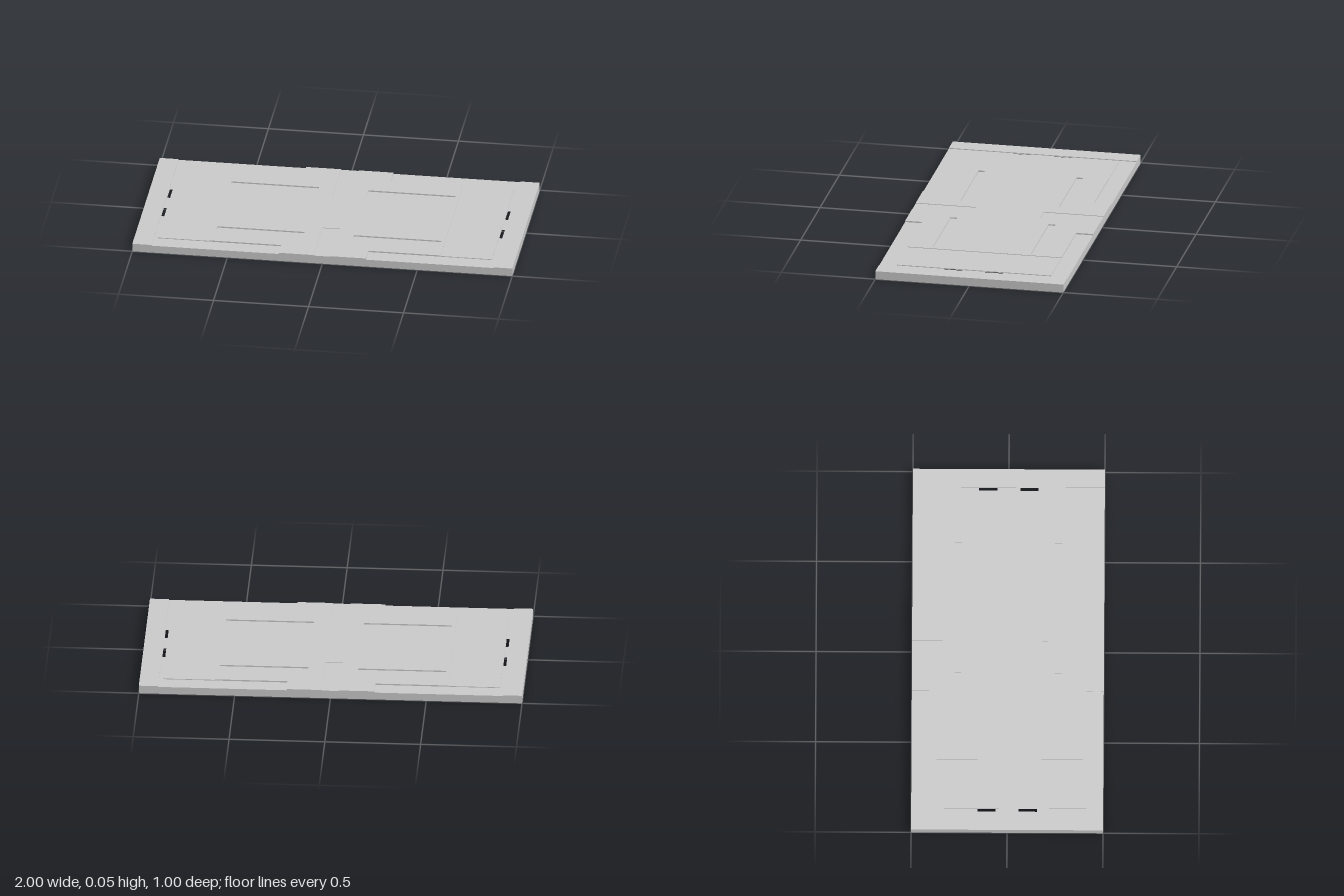
import * as THREE from 'three';

// Levels of the embossed sheet
const FLOOR = 0.04, MID = 0.044, TOP = 0.047;
const material = new THREE.MeshStandardMaterial({ color: 0xcccccc, side: THREE.DoubleSide });

const rect = (x0, x1, z0, z1) => [[x0, z0], [x1, z0], [x1, z1], [x0, z1]];
const flip = (points, sx, sz) => points.map(([x, z]) => [x * sx, z * sz]);

export function createModel() {
  const model = new THREE.Group();

  const add = (name, geometry) => {
    const mesh = new THREE.Mesh(geometry, material);
    mesh.name = name;
    model.add(mesh);
  };

  // Flat panel from an [x, z] outline, with optional holes
  const panel = (name, outline, y, holes = []) => {
    const toVectors = (points) => points.map(([x, z]) => new THREE.Vector2(x, -z));
    const shape = new THREE.Shape(toVectors(outline));
    shape.holes = holes.map((hole) => new THREE.Path(toVectors(hole)));
    add(name, new THREE.ShapeGeometry(shape).rotateX(-Math.PI / 2).translate(0, y, 0));
  };

  // Upright wall following an [x, z] path
  const wall = (name, path, y0, y1, closed = false) => {
    const points = closed ? [...path, path[0]] : path;
    const positions = [];
    for (let i = 0; i + 1 < points.length; i++) {
      const [ax, az] = points[i], [bx, bz] = points[i + 1];
      positions.push(ax, y0, az, bx, y0, bz, bx, y1, bz, ax, y0, az, bx, y1, bz, ax, y1, az);
    }
    const geometry = new THREE.BufferGeometry();
    geometry.setAttribute('position', new THREE.Float32BufferAttribute(positions, 3));
    geometry.computeVertexNormals();
    add(name, geometry);
  };

  // Outer skirt, open underneath (z clockwise so the walls face outward)
  wall('skirt', rect(-1, 1, -0.5, 0.5).reverse(), 0, FLOOR, true);

  for (const s of [1, -1]) {
    // Raised strip at each end
    const strip = rect(0.9, 1, -0.5, 0.5);
    panel('endStrip', flip(strip, s, 1), MID);
    wall('endStripEdge', flip(strip, s, 1), FLOOR, MID, true);

    // Low border with two through slots
    const border = [
      [0.23, 0.5], [0.9, 0.5], [0.9, -0.5], [0.23, -0.5],
      [0.23, -0.41], [0.88, -0.41], [0.88, 0.41], [0.23, 0.41],
    ];
    const slots = [rect(0.882, 0.897, 0.06, 0.155), rect(0.882, 0.897, -0.155, -0.06)];
    panel('border', flip(border, s, 1), FLOOR, slots.map((slot) => flip(slot, s, 1)));

    // Side wing between the border and the centre plate
    const wing = [[0.61, 0.41], [0.88, 0.41], [0.88, -0.41], [0.61, -0.41]];
    panel('sideWing', flip(wing, s, 1), MID);
    wall('sideWingEdge', flip(wing, s, 1), FLOOR, MID);
    wall('centrePlateSide', flip([[0.61, 0.41], [0.61, -0.41]], s, 1), MID, TOP);
  }

  // Centre plate: one quarter of its outline, mirrored around
  const quarter = [[0.61, 0.41], [0.23, 0.41], [0.23, 0.5], [0.046, 0.5]];
  const corner = [...quarter, [0.046, 0.18]];
  const outline = [
    ...corner,
    ...flip(corner, -1, 1).reverse(),
    ...flip(corner, -1, -1),
    ...flip(corner, 1, -1).reverse(),
  ];
  const grooves = [];
  for (const sx of [1, -1]) {
    for (const sz of [1, -1]) {
      wall('centrePlateEdge', flip(quarter, sx, sz), FLOOR, TOP);
      // Long recessed groove
      const groove = flip(rect(0.13, 0.59, 0.243, 0.279), sx, sz);
      grooves.push(groove);
      panel('grooveFloor', groove, FLOOR);
      wall('grooveWall', groove, FLOOR, TOP, true);
    }
  }
  panel('centrePlate', outline, TOP, grooves);

  // Shallow channels running in from the front and back edges
  for (const s of [1, -1]) {
    const channel = flip([[0.046, 0.5], [0.046, 0.18], [-0.046, 0.18], [-0.046, 0.5]], 1, s);
    panel('channelFloor', channel, MID);
    wall('channelWall', channel, MID, TOP);
    wall('channelLip', [channel[3], channel[0]], FLOOR, MID);
  }

  return model;
}
